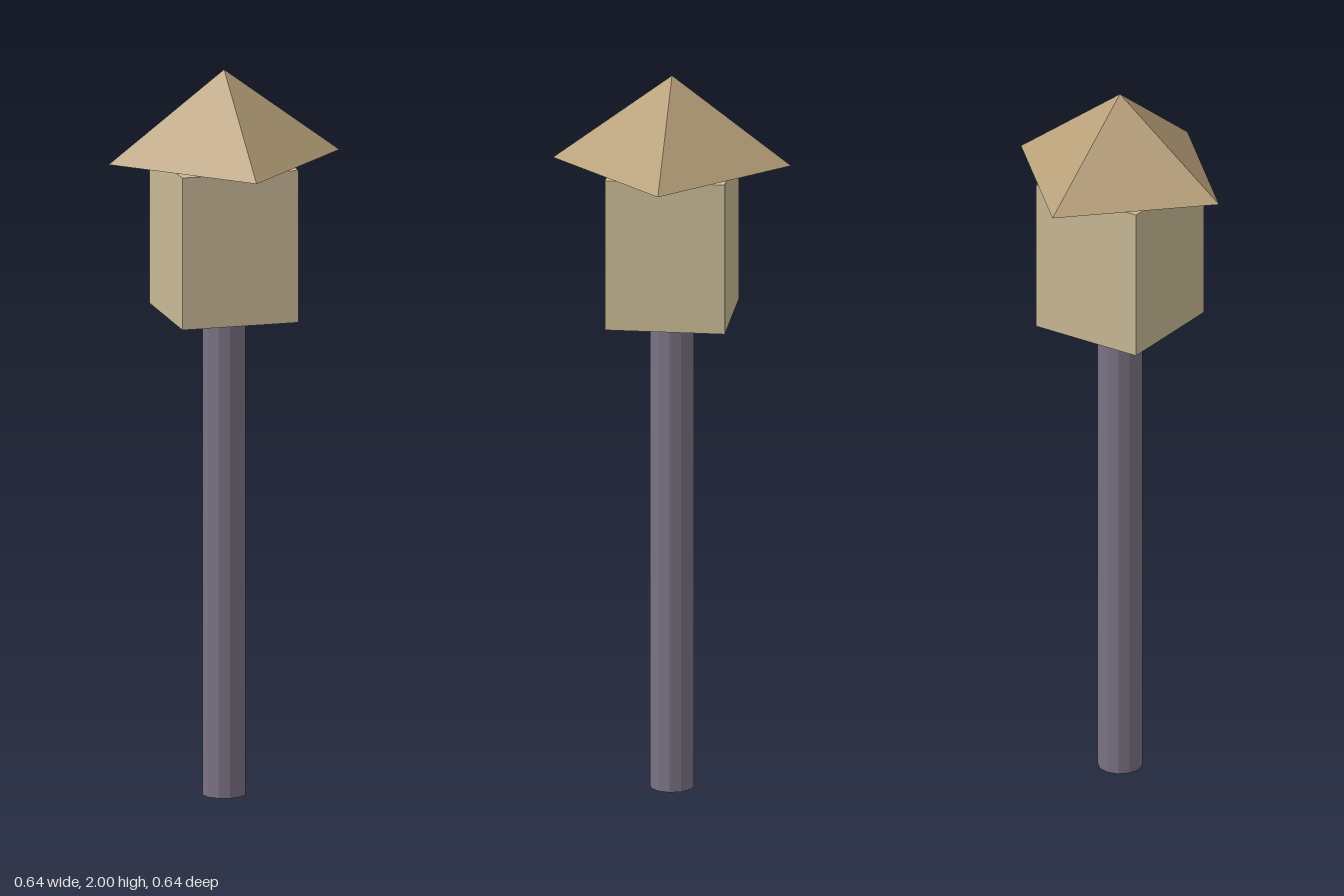
import * as THREE from 'three';

const flat = (name, color) => {
  const material = new THREE.MeshStandardMaterial({ color, flatShading: true });
  material.name = name;
  return material;
};

export function createModel() {
  const model = new THREE.Group();
  model.name = 'lampPost';

  // Adds a part resting on the given height
  const add = (name, geometry, material, bottom, height) => {
    const mesh = new THREE.Mesh(geometry, material);
    mesh.name = name;
    mesh.position.y = bottom + height / 2;
    model.add(mesh);
  };

  // Slender post
  add('post', new THREE.CylinderGeometry(0.06, 0.06, 1.33, 12), flat('purple grey', 0x7b7283), 0, 1.33);

  // Lantern box on top of the post
  add('lantern', new THREE.BoxGeometry(0.324, 0.42, 0.324), flat('pale sand', 0xc9b996), 1.328, 0.42);

  // Four-sided roof, turned 45 degrees to the box, with a small gap below
  add('roof', new THREE.ConeGeometry(0.322, 0.242, 4), flat('tan', 0xb8a07a), 1.758, 0.242);

  return model;
}
